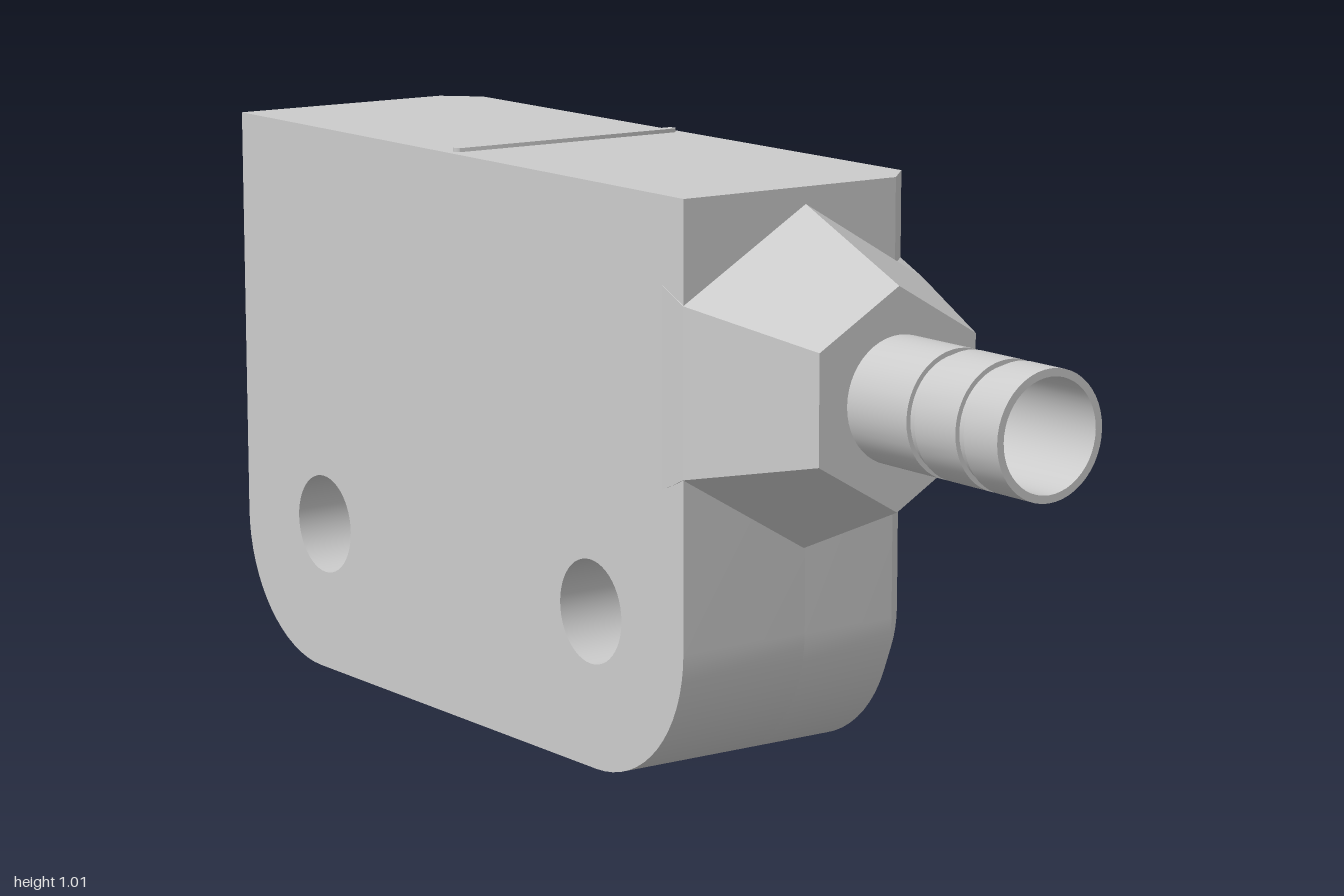
import * as THREE from 'three';
import { toCreasedNormals } from 'three/addons/utils/BufferGeometryUtils.js';

const material = new THREE.MeshStandardMaterial({ color: 0xcccccc });
const facetMaterial = new THREE.MeshStandardMaterial({ color: 0xcccccc, flatShading: true });

const X0 = -1, X1 = 0.385, CORNER = 0.25, CHAMFER = 0.06;
const BACK = -0.245, FRONT = 0.25;
const HOLES = [[-0.73, 0.27], [0.12, 0.27]];

function addMesh(group, name, geometry, mat = material) {
  const mesh = new THREE.Mesh(geometry, mat);
  mesh.name = name;
  group.add(mesh);
  return mesh;
}

// Housing outline: square top, rounded bottom corners, inset on sides and bottom
function outline(inset) {
  const r = CORNER - inset, n = 16, pts = [new THREE.Vector2(X0 + inset, 1)];
  for (const [cx, start] of [[X0 + CORNER, Math.PI], [X1 - CORNER, 1.5 * Math.PI]]) {
    for (let i = 0; i <= n; i++) {
      const a = start + (i / n) * Math.PI / 2;
      pts.push(new THREE.Vector2(cx + r * Math.cos(a), CORNER + r * Math.sin(a)));
    }
  }
  pts.push(new THREE.Vector2(X1 - inset, 1));
  return pts;
}

function roundedRect(x0, y0, x1, y1, r) {
  const s = new THREE.Shape();
  s.absarc(x1 - r, y0 + r, r, -Math.PI / 2, 0);
  s.absarc(x1 - r, y1 - r, r, 0, Math.PI / 2);
  s.absarc(x0 + r, y1 - r, r, Math.PI / 2, Math.PI);
  s.absarc(x0 + r, y0 + r, r, Math.PI, 1.5 * Math.PI);
  s.closePath();
  return s;
}

// One slab of the housing between two depths
function slab(inset, holeRadius, z0, z1, extraHoles = []) {
  const shape = new THREE.Shape(outline(inset));
  for (const [x, y] of HOLES) {
    shape.holes.push(new THREE.Path().absarc(x, y, holeRadius, 0, Math.PI * 2, true));
  }
  shape.holes.push(...extraHoles);
  const g = new THREE.ExtrudeGeometry(shape, { depth: z1 - z0, bevelEnabled: false, curveSegments: 24 });
  g.translate(0, 0, z0);
  return toCreasedNormals(g, 0.6);
}

function fromTriangles(points) {
  const g = new THREE.BufferGeometry();
  g.setAttribute('position', new THREE.Float32BufferAttribute(points.flat(), 3));
  g.computeVertexNormals();
  return g;
}

// Sloped band around the back edge, closed by a triangle at each top end
function chamferGeometry() {
  const zo = BACK + CHAMFER;
  const outer = outline(0).map(p => [p.x, p.y, zo]);
  const inner = outline(CHAMFER).map(p => [p.x, p.y, BACK]);
  const tris = [];
  for (let i = 0; i < outer.length - 1; i++) {
    tris.push(inner[i], inner[i + 1], outer[i], inner[i + 1], outer[i + 1], outer[i]);
  }
  const e = outer.length - 1;
  tris.push(outer[0], [X0 + CHAMFER, 1, zo], inner[0]);
  tris.push(outer[e], inner[e], [X1 - CHAMFER, 1, zo]);
  return toCreasedNormals(fromTriangles(tris), 0.6);
}

// Six-sided tapered boss; each section is [x, half width, apex height, corner height]
function bossGeometry() {
  const sections = [[0.325, 0.247, 0.288, 0.17], [X1, 0.248, 0.288, 0.143], [0.63, 0.16, 0.185, 0.0925]];
  const rings = sections.map(([x, h, a, s]) =>
    [[0, a], [h, s], [h, -s], [0, -a], [-h, -s], [-h, s]].map(([z, y]) => [x, 0.683 + y, z + 0.003]));
  const tris = [];
  for (let k = 0; k < rings.length - 1; k++) {
    for (let i = 0; i < 6; i++) {
      const j = (i + 1) % 6, a = rings[k], b = rings[k + 1];
      tris.push(a[i], a[j], b[i], a[j], b[j], b[i]);
    }
  }
  const cap = rings[rings.length - 1];
  for (let i = 1; i < 5; i++) tris.push(cap[0], cap[i], cap[i + 1]);
  return fromTriangles(tris);
}

// Hollow cable sleeve with two ring grooves
function sleeveGeometry() {
  const R = 0.106, groove = 0.098, bore = 0.093;
  const profile = [[R, 0.62]];
  for (const x of [0.79, 0.91]) {
    profile.push([R, x - 0.01], [groove, x - 0.01], [groove, x + 0.01], [R, x + 0.01]);
  }
  profile.push([R, 1], [bore, 1], [bore, 0.66], [0, 0.66]);
  const g = new THREE.LatheGeometry(profile.map(p => new THREE.Vector2(...p)), 48);
  g.rotateZ(-Math.PI / 2);
  g.translate(0, 0.683, 0.001);
  return toCreasedNormals(g, 0.6);
}

export function createModel() {
  const model = new THREE.Group();
  model.name = 'sensorHousing';

  // Housing: narrow screw holes in front, wide counterbores behind
  const housing = new THREE.Group();
  housing.name = 'housing';
  model.add(housing);
  const shoulder = BACK + CHAMFER, recess = BACK + 0.025;
  const panel = roundedRect(-0.9, 0.505, 0.285, 0.925, 0.035);
  addMesh(housing, 'frontBody', slab(0, 0.09, 0, FRONT));
  addMesh(housing, 'middleBody', slab(0, 0.165, shoulder, 0));
  addMesh(housing, 'recessFloor', slab(CHAMFER, 0.165, recess, shoulder));
  addMesh(housing, 'backFrame', slab(CHAMFER, 0.165, BACK, recess, [panel]));
  addMesh(housing, 'backChamfer', chamferGeometry());

  // Small raised pads between the counterbores
  for (let i = 0; i < 4; i++) {
    const pad = addMesh(model, 'backPad', new THREE.BoxGeometry(0.075, 0.115, 0.03));
    pad.position.set(-0.514 + i * 0.137, 0.124, BACK + 0.005);
  }

  // Thin marker rib across the top
  const rib = new THREE.ExtrudeGeometry(roundedRect(-0.01, -0.235, 0.01, 0.235, 0.0099),
    { depth: 0.017, bevelEnabled: false, curveSegments: 6 });
  rib.rotateX(-Math.PI / 2);
  addMesh(model, 'topRib', toCreasedNormals(rib, 0.6)).position.set(-0.308, 0.99, 0);

  // Cable outlet on the left side
  addMesh(model, 'outletBoss', bossGeometry(), facetMaterial);
  addMesh(model, 'cableSleeve', sleeveGeometry());

  return model;
}
